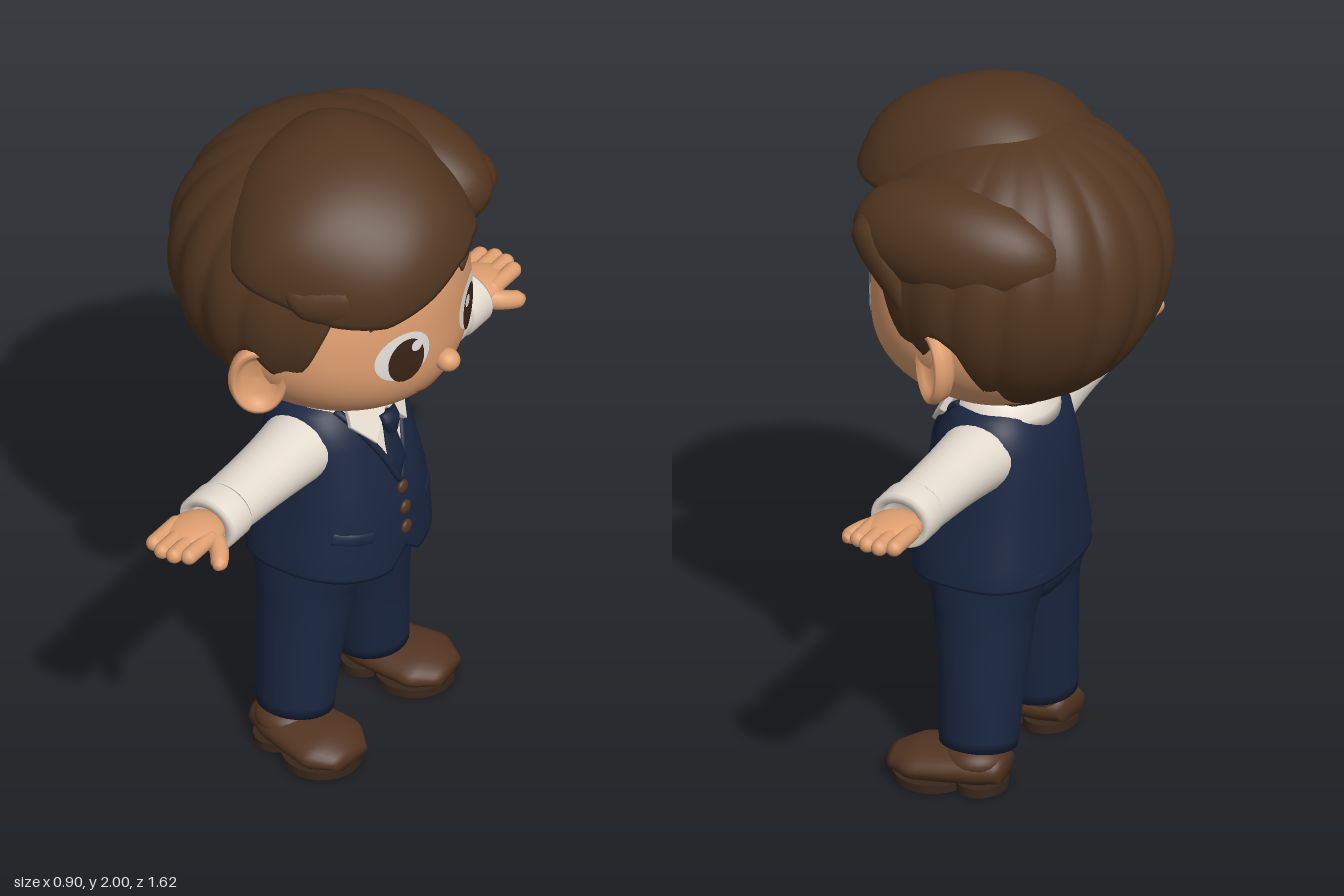
import * as THREE from 'three';

const mat = (name, color) => { const m = new THREE.MeshStandardMaterial({ color }); m.name = name; return m; };
const V = (p) => new THREE.Vector3(...p);

// Linear lookup in rows of [key, value, value...]
function lookup(rows, k) {
  if (k <= rows[0][0]) return rows[0].slice(1);
  for (let i = 1; i < rows.length; i++) if (k <= rows[i][0]) {
    const a = rows[i - 1], b = rows[i], t = (k - a[0]) / (b[0] - a[0]);
    return a.slice(1).map((v, j) => v + (b[j + 1] - v) * t);
  }
  return rows[rows.length - 1].slice(1);
}

// Smooth surface from fn(u, v); wraps in u when closed and always faces away from origin
function grid(fn, nu, nv, closed = true, origin = null) {
  const pos = [], idx = [], cols = closed ? nu : nu + 1;
  for (let j = 0; j <= nv; j++) for (let i = 0; i < cols; i++) pos.push(...fn(i / nu, j / nv, j));
  for (let j = 0; j < nv; j++) for (let i = 0; i < nu; i++) {
    const a = j * cols + i, b = j * cols + (i + 1) % cols, c = a + cols, d = b + cols;
    idx.push(a, b, d, a, d, c);
  }
  const g = new THREE.BufferGeometry();
  g.setAttribute('position', new THREE.Float32BufferAttribute(pos, 3));
  g.computeBoundingBox();
  const o = origin ? V(origin) : g.boundingBox.getCenter(new THREE.Vector3());
  const p = (i) => new THREE.Vector3().fromArray(pos, i * 3).sub(o);
  let vol = 0;
  for (let i = 0; i < idx.length; i += 3) vol += p(idx[i]).dot(p(idx[i + 1]).cross(p(idx[i + 2])));
  if (vol < 0) idx.reverse();
  g.setIndex(idx);
  g.computeVertexNormals();
  return g;
}

// Elliptical tube along points; radii are [side, up] pairs, with closed ends
function tube(pts, radii, ref = [0, 0, 1], nu = 20, n = 18) {
  const curve = new THREE.CatmullRomCurve3(pts.map(V));
  const rows = radii.map((r, i) => [i / (radii.length - 1), ...r]);
  return grid((u, v, j) => {
    const t = THREE.MathUtils.clamp((j - 1) / n, 0, 1), c = curve.getPoint(t), tan = curve.getTangent(t);
    const side = tan.clone().cross(V(ref)).normalize(), up = side.clone().cross(tan);
    const k = j === 0 || j === n + 2 ? 0 : 1, [a, b] = lookup(rows, t), th = u * Math.PI * 2;
    return c.addScaledVector(side, k * a * Math.cos(th)).addScaledVector(up, k * b * Math.sin(th)).toArray();
  }, nu, n + 2);
}

const ball = (c, r) => new THREE.SphereGeometry(1, 32, 22).scale(...r).translate(...c);
const lathe = (pts, n = 36) => new THREE.LatheGeometry(pts.map((p) => new THREE.Vector2(...p)), n);

// Face surface: depth at x, y
const faceV = (y) => Math.min(1, Math.abs(y - 1.42) / (y < 1.42 ? 0.3 : 0.42));
function faceZ(x, y) {
  const v = faceV(y), w = 0.385 * Math.sqrt(1 - v * v) + 1e-6;
  return 0.365 * (1 - v ** 3) ** 0.45 * Math.sqrt(Math.max(0, 1 - (x / w) ** 2));
}
const facePatch = (cx, cy, rx, ry, off) => grid((u, v) => {
  const x = cx + rx * v * Math.cos(u * Math.PI * 2), y = cy + ry * v * Math.sin(u * Math.PI * 2);
  return [x, y, faceZ(x, y) + off];
}, 32, 6, true, [0, 1.42, 0]);

// Waistcoat section: y, half width, front depth, back depth
const VEST = [[0.6, 0.27, 0.235, 0.2], [0.66, 0.265, 0.235, 0.2], [0.8, 0.238, 0.228, 0.188], [0.95, 0.215, 0.19, 0.175],
  [1.04, 0.205, 0.155, 0.15], [1.09, 0.175, 0.115, 0.115], [1.12, 0.11, 0.08, 0.08]];
function vestZ(x, y) {
  const [w, f] = lookup(VEST, y);
  return f * Math.max(0, 1 - Math.abs(x / w) ** 2.5) ** 0.4;
}
const onVest = (x, y, off) => [x, y, vestZ(x, y) + off];

export function createModel() {
  const hair = mat('hair brown', 0x523620), skin = mat('skin', 0xdf9f70), shirt = mat('shirt cream', 0xe6dcd0);
  const navy = mat('navy cloth', 0x1a2640), tieMat = mat('tie navy', 0x17223c), shoe = mat('shoe leather', 0x523421);
  const sole = mat('sole', 0x38271b), white = mat('eye white', 0xe8e4de), iris = mat('eye brown', 0x3a2416), lip = mat('mouth line', 0x8c4a30);
  const model = new THREE.Group(), body = new THREE.Group();
  body.name = 'boy';
  body.rotation.y = Math.PI / 2;
  model.add(body);
  const add = (name, geo, m, parent = body) => {
    const mesh = new THREE.Mesh(geo, m);
    mesh.name = name;
    parent.add(mesh);
    return mesh;
  };

  // Head and neck
  add('head', grid((u, v) => {
    const a = u * Math.PI * 2, c = Math.cos(v * Math.PI), y = 1.42 + c * (c < 0 ? 0.3 : 0.42);
    const s = Math.sin(v * Math.PI), front = Math.cos(a) > 0;
    const d = front ? 0.365 * Math.max(0, 1 - Math.abs(c) ** 3) ** 0.45 : 0.33 * s;
    return [0.385 * s * Math.sin(a), y, d * Math.cos(a)];
  }, 64, 48), skin);
  add('neck', new THREE.CylinderGeometry(0.1, 0.1, 0.16, 28).translate(0, 1.1, 0), skin);
  add('nose', ball([0, 1.33, 0.372], [0.034, 0.032, 0.036]), skin);
  add('mouth', tube([-0.075, -0.04, 0, 0.04, 0.075].map((x) => {
    const y = 1.224 + 4.6 * x * x;
    return [x, y, faceZ(x, y)];
  }), [[0.002, 0.003], [0.005, 0.005], [0.002, 0.003]], [0, 0, 1], 8, 20), lip);

  for (const s of [-1, 1]) {
    const side = s > 0 ? 'left' : 'right';
    // Eyes, brows and cupped ears
    add(side + 'EyeWhite', facePatch(s * 0.152, 1.421, 0.081, 0.077, 0.003), white);
    add(side + 'Iris', facePatch(s * 0.147, 1.407, 0.054, 0.071, 0.006), iris);
    add(side + 'EyeGlint', facePatch(s * 0.12, 1.448, 0.017, 0.018, 0.009), white);
    add(side + 'Brow', tube([[0.1, 1.568], [0.14, 1.583], [0.19, 1.575], [0.238, 1.537]].map(([x, y]) => [s * x, y, faceZ(x, y) + 0.003]),
      [[0.014, 0.008], [0.023, 0.013], [0.021, 0.013], [0.006, 0.006]], [0, 0, 1], 14), hair);
    const ear = add(side + 'Ear', lathe([[0, -0.05], [0.5, -0.045], [0.88, -0.025], [1, 0.006], [0.95, 0.024], [0.84, 0.028], [0.7, 0.014], [0.5, -0.002], [0, -0.006]])
      .rotateX(Math.PI / 2).scale(0.08, 0.11, 1), skin);
    ear.position.set(s * 0.392, 1.36, 0.018);
    ear.rotation.set(0, s * 0.85, -s * 0.12);

    // Arms and hands
    add(side + 'Sleeve', tube([[s * 0.13, 0.983, 0], [s * 0.3, 0.988, 0.004], [s * 0.57, 0.997, 0.005]],
      [[0.1, 0.112], [0.092, 0.1], [0.082, 0.09], [0.074, 0.085]], [0, 0, 1], 28), shirt);
    add(side + 'Cuff', lathe([[0.055, -0.045], [0.075, -0.048], [0.081, -0.038], [0.081, 0.038], [0.075, 0.048], [0.055, 0.045], [0.05, 0.01], [0, 0.01]])
      .rotateZ(-s * Math.PI / 2).scale(1, 1, 1.13).translate(s * 0.572, 0.997, 0.007), shirt);
    const hand = new THREE.Group();
    hand.name = side + 'Hand';
    body.add(hand);
    add('palm', ball([s * 0.665, 1.002, 0.003], [0.092, 0.036, 0.078]), skin, hand);
    [[-0.056, 0.772], [-0.019, 0.788], [0.019, 0.786], [0.055, 0.768]].forEach(([z, x]) => {
      add('finger', new THREE.CapsuleGeometry(0.023, x - 0.67, 6, 14).rotateZ(Math.PI / 2).translate(s * (x + 0.67) / 2, 1.006, z), skin, hand);
    });
    add('thumb', tube([[s * 0.635, 0.99, 0.035], [s * 0.67, 0.98, 0.085], [s * 0.71, 0.97, 0.113], [s * 0.728, 0.967, 0.117]],
      [[0.03, 0.033], [0.027, 0.028], [0.024, 0.024], [0.01, 0.01]], [0, 1, 0], 14), skin, hand);

    // Trouser legs
    add(side + 'TrouserLeg', tube([[s * 0.12, 0.65, 0.002], [s * 0.13, 0.5, 0], [s * 0.157, 0.3, -0.005], [s * 0.178, 0.115, -0.005]],
      [[0.12, 0.19], [0.127, 0.142], [0.116, 0.119], [0.104, 0.108]], [0, 0, 1], 32), navy);

    // Shoes
    const foot = new THREE.Group();
    foot.name = side + 'Shoe';
    foot.position.set(s * 0.207, 0, 0);
    foot.rotation.y = s * 0.12;
    body.add(foot);
    add('shoeUpper', tube([[0, 0.06, -0.1], [0, 0.066, -0.03], [0, 0.062, 0.06], [0, 0.056, 0.15], [0, 0.046, 0.222]],
      [[0.058, 0.042], [0.092, 0.056], [0.106, 0.052], [0.116, 0.049], [0.062, 0.028]], [0, 1, 0], 28), shoe, foot);
    add('shoeCollar', ball([0, 0.085, -0.012], [0.09, 0.05, 0.09]), shoe, foot);
    const disc = (rx, rz, h, y, z) => new THREE.CylinderGeometry(1, 1, h, 36).scale(rx, 1, rz).translate(0, y, z);
    add('soleFront', disc(0.11, 0.11, 0.024, 0.012, 0.112), sole, foot);
    add('soleHeel', disc(0.088, 0.072, 0.026, 0.013, -0.03), sole, foot);

    // Waistcoat neckline edge and pocket
    add(side + 'VestEdge', tube([[0.004, 0.855], [0.05, 0.96], [0.098, 1.06], [0.115, 1.1]].map(([x, y]) => onVest(s * x, y, 0.004)),
      [[0.01, 0.01], [0.012, 0.012]], [0, 0, 1], 10), navy);
    add(side + 'Pocket', tube([[0.125, 0.73], [0.17, 0.738], [0.215, 0.75]].map(([x, y]) => onVest(s * x, y, 0)),
      [[0.018, 0.005], [0.018, 0.005]], [0, 0, 1], 12), navy);

    // Collar flap
    const flap = new THREE.Shape([[0.002, 1.075], [0.025, 1.125], [0.105, 1.135], [0.118, 1.08], [0.068, 1.005]].map(([x, y]) => new THREE.Vector2(s * x, y - 1.07)));
    const flapMesh = add(side + 'CollarFlap', new THREE.ExtrudeGeometry(flap, { depth: 0.012, bevelSize: 0.004, bevelThickness: 0.004, bevelSegments: 2 }), shirt);
    flapMesh.position.set(0, 1.07, 0.16);
    flapMesh.rotation.set(-0.5, s * 0.25, 0);
  }

  // Trouser seat
  add('trouserSeat', ball([0, 0.61, 0.002], [0.235, 0.13, 0.187]), navy);

  // Waistcoat with pointed front hem
  const levels = [0.63, 0.6, 0.61, 0.64, 0.68, 0.74, 0.8, 0.87, 0.95, 1, 1.04, 1.07, 1.09, 1.105, 1.12, 1.12];
  const sp = (c) => Math.sign(c) * Math.abs(c) ** 0.8;
  add('waistcoat', grid((u, v, j) => {
    const a = u * Math.PI * 2, y = levels[j], [w, f, b] = lookup(VEST, y);
    const k = j === 0 ? 0.8 : j === 15 ? 0 : 1, x = k * w * sp(Math.sin(a)), z = k * sp(Math.cos(a)) * (Math.cos(a) > 0 ? f : b);
    const fade = Math.max(0, 1 - (y - 0.6) / 0.14), hem = Math.cos(a) > 0 ? lookup([[0, 0.035], [0.065, -0.018], [0.13, -0.01], [0.27, 0.018]], Math.abs(x))[0] : 0.018;
    return [x, y + hem * fade, z];
  }, 80, 15), navy);
  for (const y of [0.83, 0.765, 0.7]) add('button', ball(onVest(0, y, 0.004), [0.021, 0.021, 0.011]), shoe);

  // Shirt front, collar band and tie
  add('shirtFront', grid((u, v) => {
    const y = 0.86 + 0.24 * v;
    return onVest((u - 0.5) * 0.225 * v, y, 0.006);
  }, 12, 14, false, [0, 1, 0]), shirt);
  add('collarBand', lathe([[0.1, 1.05], [0.165, 1.05], [0.16, 1.085], [0.135, 1.125], [0.115, 1.135], [0.1, 1.12]], 40).scale(1, 1, 0.88), shirt);
  add('tieKnot', tube([[0, 1.07, 0.172], [0, 1.045, 0.185], [0, 1.01, 0.19]], [[0.034, 0.016], [0.034, 0.02], [0.02, 0.014]]), tieMat);
  add('tieBlade', tube([[0, 1.025, 0.176], [0, 0.97, 0.191], [0, 0.915, 0.208], [0, 0.87, 0.216]], [[0.02, 0.01], [0.03, 0.01], [0.036, 0.01], [0.003, 0.005]]), tieMat);

  // Main hair cap: scalloped dome down to a hairline given by angle from the front
  const hairline = [[0, 1.72], [35, 1.69], [50, 1.6], [60, 1.44], [67, 1.36], [76, 1.38], [84, 1.47], [94, 1.42], [104, 1.24], [120, 1.16], [180, 1.142]];
  const capRise = (up) => (up ? 0.385 : 0.43);
  const rim = (j, n) => (j <= n ? [1, 0] : j === n + 1 ? [0.95, -0.015] : [0.58, 0]);
  add('hairCap', grid((u, v, j) => {
    const a = u * Math.PI * 2, deg = Math.abs(((u * 360 + 180) % 360) - 180), n = 32;
    const drop = lookup(hairline, deg)[0] - 1.56, t = Math.min(1, j / n) * Math.acos(drop / capRise(drop > 0));
    const [k, dy] = rim(j, n), back = THREE.MathUtils.smoothstep(deg, 60, 110);
    const r = (0.985 + (0.008 + 0.03 * back) * Math.abs(Math.sin(a * 9 + t * 0.8)) * Math.sin(t)) * Math.sin(t) * k;
    const y = 1.56 + capRise(Math.cos(t) > 0) * Math.cos(t) + dy;
    return [0.43 * r * Math.sin(a), y, -0.03 + r * Math.cos(a) * (Math.cos(a) > 0 ? 0.4 : 0.415)];
  }, 216, 34), hair);

  // Swept fringe: lopsided dome whose lower edge falls toward the right temple
  const fringe = [[-180, 1.72], [-110, 1.7], [-80, 1.66], [-60, 1.615], [-38, 1.6], [-20, 1.655], [-5, 1.715], [15, 1.745], [40, 1.73], [70, 1.74], [180, 1.72]];
  add('sweptFringe', grid((u, v, j) => {
    const deg = u * 360 - 180, a = deg * Math.PI / 180, n = 30;
    const t = Math.min(1, j / n) * Math.acos((lookup(fringe, deg)[0] - 1.68) / 0.32);
    const [k, dy] = rim(j, n), r = Math.sin(t) * k * (1 + 0.018 * Math.sin(a * 5 + t * 3) * Math.sin(t));
    return [-0.02 + r * Math.sin(a) * (Math.sin(a) > 0 ? 0.25 : 0.405), 1.68 + 0.32 * Math.cos(t) + dy, 0.05 + r * Math.cos(a) * (Math.cos(a) > 0 ? 0.405 : 0.3)];
  }, 120, 32), hair);

  // Long side lobe beyond the parting, and locks on both temples
  add('partingLobe', ball([0.262, 1.69, 0.01], [0.17, 0.17, 0.31]), hair);
  add('leftTempleLock', tube([[0.25, 1.75, 0.25], [0.32, 1.69, 0.23], [0.36, 1.6, 0.17], [0.37, 1.48, 0.11]],
    [[0.03, 0.03], [0.075, 0.07], [0.065, 0.045], [0.015, 0.012]], [1, 0, 1]), hair);
  add('rightTempleLock', tube([[-0.2, 1.72, 0.33], [-0.31, 1.68, 0.25], [-0.37, 1.68, 0.17], [-0.4, 1.73, 0.1]],
    [[0.05, 0.04], [0.08, 0.055], [0.06, 0.04], [0.01, 0.01]], [-1, 0, 1]), hair);
  return model;
}
